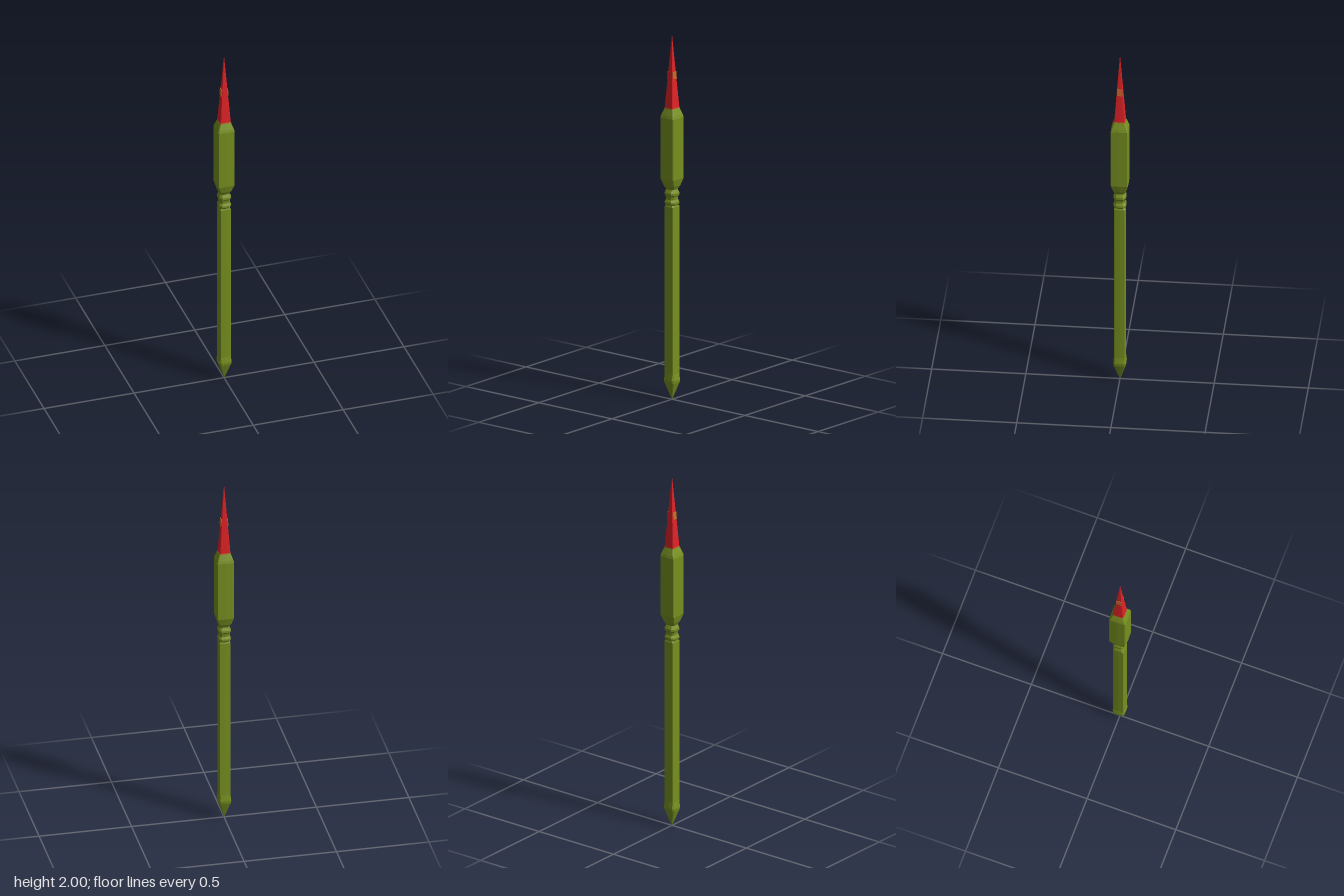
import * as THREE from 'three';

// Soft-cornered square outline; k near 1 is square, near 0.55 is round
function outline(k) {
  const quarter = [[1, 0], [0.97, k], [k, 0.97]];
  const pts = [];
  for (let q = 0; q < 4; q++) {
    for (const [x, z] of quarter) {
      pts.push([[x, z], [-z, x], [-x, -z], [z, -x]][q]);
    }
  }
  return pts;
}

// Skin stacked rings [y, halfWidth, k], bottom to top
function loft(rings) {
  const pos = [], idx = [], n = 12;
  for (const [y, r, k] of rings) {
    for (const [x, z] of outline(k)) pos.push(x * r, y, z * r);
  }
  for (let i = 0; i < rings.length - 1; i++) {
    for (let j = 0; j < n; j++) {
      const a = i * n + j, b = i * n + (j + 1) % n;
      idx.push(a, a + n, b, b, a + n, b + n);
    }
  }
  const g = new THREE.BufferGeometry();
  g.setAttribute('position', new THREE.Float32BufferAttribute(pos, 3));
  g.setIndex(idx);
  const flat = g.toNonIndexed();
  flat.computeVertexNormals();
  return flat;
}

export function createModel() {
  const group = new THREE.Group();
  const paint = (name, color) => {
    const m = new THREE.MeshStandardMaterial({ color });
    m.name = name;
    return m;
  };
  const green = paint('olive green', 0x789020);
  const red = paint('red', 0xe02226);
  const orange = paint('burnt orange', 0xc8692a);
  const add = (name, geometry, material) => {
    const mesh = new THREE.Mesh(geometry, material);
    mesh.name = name;
    group.add(mesh);
    return mesh;
  };

  // Pointed foot with a rounded swelling
  add('foot', loft([
    [0, 0.0005, 0.6], [0.095, 0.033, 0.75], [0.11, 0.035, 0.75],
    [0.125, 0.033, 0.75], [0.145, 0.03, 0.9],
  ]), green);

  // Long square shaft
  add('shaft', loft([[0.145, 0.03, 0.9], [1.06, 0.03, 0.9], [1.068, 0.027, 0.7]]), green);

  // Turned neck with two beads
  add('neck', loft([
    [1.068, 0.029, 0.6], [1.077, 0.034, 0.6], [1.087, 0.034, 0.6], [1.1, 0.028, 0.6],
    [1.115, 0.029, 0.6], [1.126, 0.034, 0.6], [1.137, 0.034, 0.6], [1.155, 0.026, 0.65],
  ]), green);

  // Thick square head, tapered at both ends
  add('head', loft([
    [1.155, 0.026, 0.65], [1.175, 0.036, 0.75], [1.215, 0.047, 0.9],
    [1.55, 0.047, 0.9], [1.565, 0.043, 0.88], [1.598, 0.031, 0.85], [1.598, 0.0001, 0.85],
  ]), green);

  // Thin collar where the spike leaves the head
  add('tipCollar', loft([[1.598, 0.0305, 0.85], [1.604, 0.03, 0.85]]), orange);

  // Slender spike
  add('tip', loft([[1.604, 0.03, 0.85], [2, 0.0003, 0.85]]), red);

  // Small raised plates on the two side faces of the spike
  for (const side of [1, -1]) {
    const plate = add('tipPlate', new THREE.BoxGeometry(0.005, 0.04, 0.029), orange);
    plate.position.set(side * 0.0172, 1.78, 0);
    plate.rotation.z = side * Math.atan(0.03 / 0.396);
  }

  return group;
}
